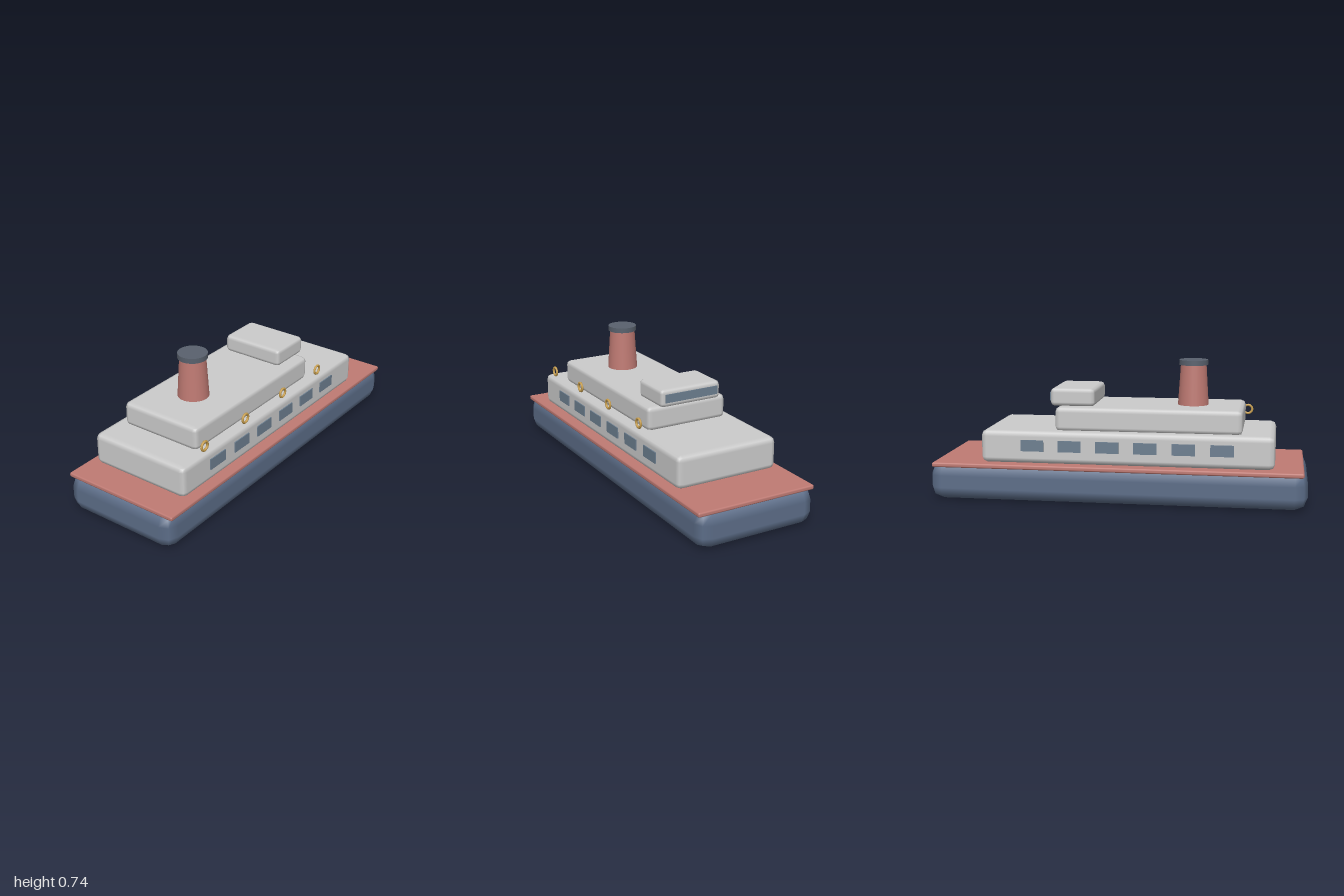
import * as THREE from 'three';
import { RoundedBoxGeometry } from 'three/addons/geometries/RoundedBoxGeometry.js';

const mat = (color) => new THREE.MeshStandardMaterial({ color });

export function createModel() {
  const model = new THREE.Group();
  const blue = mat(0x5c6d88);
  const red = mat(0xbf7a73);
  const grey = mat(0xcccccc);
  const dark = mat(0x59616d);
  const glass = mat(0x6d7f90);
  const gold = mat(0xc9a050);

  const add = (name, geometry, material, x, y, z) => {
    const mesh = new THREE.Mesh(geometry, material);
    mesh.name = name;
    mesh.position.set(x, y, z);
    model.add(mesh);
    return mesh;
  };

  // Bevelled block given by its half width, bottom, top, back and front
  const block = (name, material, halfWidth, y0, y1, z0, z1, radius) =>
    add(name, new RoundedBoxGeometry(halfWidth * 2, y1 - y0, z1 - z0, 1, radius),
      material, 0, (y0 + y1) / 2, (z0 + z1) / 2);

  // Hull, deck and stacked cabins
  block('hull', blue, 0.332, 0, 0.2, -1, 1, 0.067);
  block('deck', red, 0.334, 0.179, 0.204, -0.98, 0.98, 0.009);
  block('lowerCabin', grey, 0.288, 0.204, 0.378, -0.72, 0.83, 0.03);
  block('upperCabin', grey, 0.233, 0.37, 0.5, -0.33, 0.66, 0.026);
  block('bridge', grey, 0.177, 0.498, 0.594, -0.365, -0.125, 0.022);
  add('bridgeWindow', new THREE.BoxGeometry(0.31, 0.045, 0.01), glass, 0, 0.548, -0.364);

  // Tapered funnel with a cap
  add('funnel', new THREE.CylinderGeometry(0.069, 0.083, 0.22, 24), red, 0, 0.606, 0.385);
  add('funnelCap', new THREE.CylinderGeometry(0.078, 0.078, 0.027, 24), dark, 0, 0.728, 0.385);

  // Cabin windows along both sides
  const pane = new THREE.BoxGeometry(0.012, 0.06, 0.122);
  for (const side of [-1, 1]) {
    for (let i = 0; i < 6; i++) {
      add('cabinWindow', pane, glass, side * 0.288, 0.302, 0.56 - i * 0.2);
    }
  }

  // Life rings along the left side
  const ring = new THREE.TorusGeometry(0.0235, 0.0065, 8, 20);
  for (let i = 0; i < 4; i++) {
    add('lifeRing', ring, gold, 0.294, 0.435, 0.67 - i * 0.335).rotation.y = Math.PI / 2;
  }

  return model;
}
